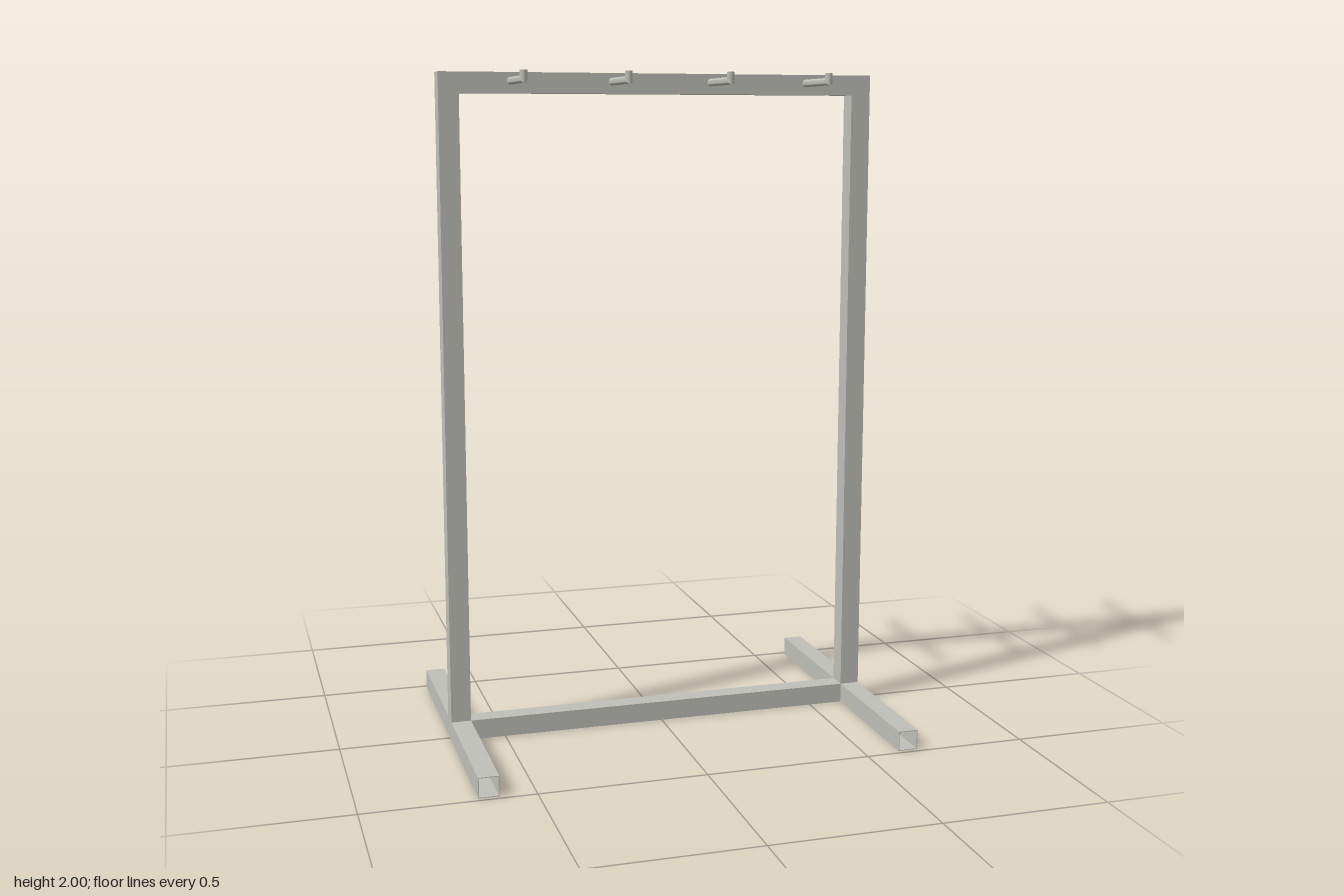
import * as THREE from 'three';
import { toCreasedNormals } from 'three/addons/utils/BufferGeometryUtils.js';

const S = 0.06;        // square tube width
const WALL = 0.002;    // tube wall
const HALF_X = 0.666;  // half width of the rack
const TOP = 2;

// Hollow square tube with open ends, centred, running along z
function squareTube(length) {
  const h = S / 2, i = h - WALL;
  const shape = new THREE.Shape([[-h, -h], [h, -h], [h, h], [-h, h]].map(p => new THREE.Vector2(...p)));
  shape.holes.push(new THREE.Path([[-i, -i], [-i, i], [i, i], [i, -i]].map(p => new THREE.Vector2(...p))));
  const g = new THREE.ExtrudeGeometry(shape, { depth: length, bevelEnabled: false });
  return g.translate(0, 0, -length / 2);
}

// Round rod across the rail with mitred, upturned tips at both ends
function hookRod(r, reach, y, sides = 16) {
  const pos = [], index = [];
  const rings = [
    s => [TOP, -reach + s],
    s => [y + s, -reach + s],
    s => [y + s, reach - s],
    s => [TOP, reach - s],
  ];
  for (const ring of rings) {
    for (let j = 0; j < sides; j++) {
      const a = (j / sides) * Math.PI * 2;
      pos.push(r * Math.cos(a), ...ring(r * Math.sin(a)));
    }
  }
  const c0 = pos.length / 3;
  pos.push(0, TOP, -reach, 0, TOP, reach);
  for (let j = 0; j < sides; j++) {
    const k = (j + 1) % sides;
    for (let i = 0; i < 3; i++) {
      const a = i * sides, b = a + sides;
      index.push(a + j, a + k, b + j, a + k, b + k, b + j);
    }
    index.push(c0, k, j, c0 + 1, 3 * sides + j, 3 * sides + k); // tip caps
  }
  const g = new THREE.BufferGeometry();
  g.setAttribute('position', new THREE.Float32BufferAttribute(pos, 3));
  g.setIndex(index);
  return toCreasedNormals(g, 0.7);
}

export function createModel() {
  const group = new THREE.Group();
  const metal = new THREE.MeshStandardMaterial({ color: 0xc0c0ba });
  metal.name = 'warm grey metal';

  const add = (name, geometry, x = 0, y = 0, z = 0) => {
    const mesh = new THREE.Mesh(geometry, metal);
    mesh.name = name;
    mesh.position.set(x, y, z);
    group.add(mesh);
  };

  // Feet and uprights, one pair per side
  const footGeo = squareTube(0.97);
  const postGeo = squareTube(TOP - S).rotateX(Math.PI / 2);
  for (const [side, sx] of [['left', 1], ['right', -1]]) {
    const x = sx * (HALF_X - S / 2);
    add(side + 'Foot', footGeo, x, S / 2);
    add(side + 'Post', postGeo, x, (TOP + S) / 2);
  }

  // Cross rails between the sides
  const railGeo = squareTube(2 * (HALF_X - S)).rotateY(Math.PI / 2);
  add('bottomRail', railGeo, 0, S / 2);
  add('topRail', railGeo, 0, TOP - S / 2);

  // Hanging hooks through the top rail
  const hookGeo = hookRod(0.011, 0.215, 1.975);
  [-0.455, -0.152, 0.152, 0.455].forEach((x, i) => add('hook' + (i + 1), hookGeo, x));

  return group;
}
